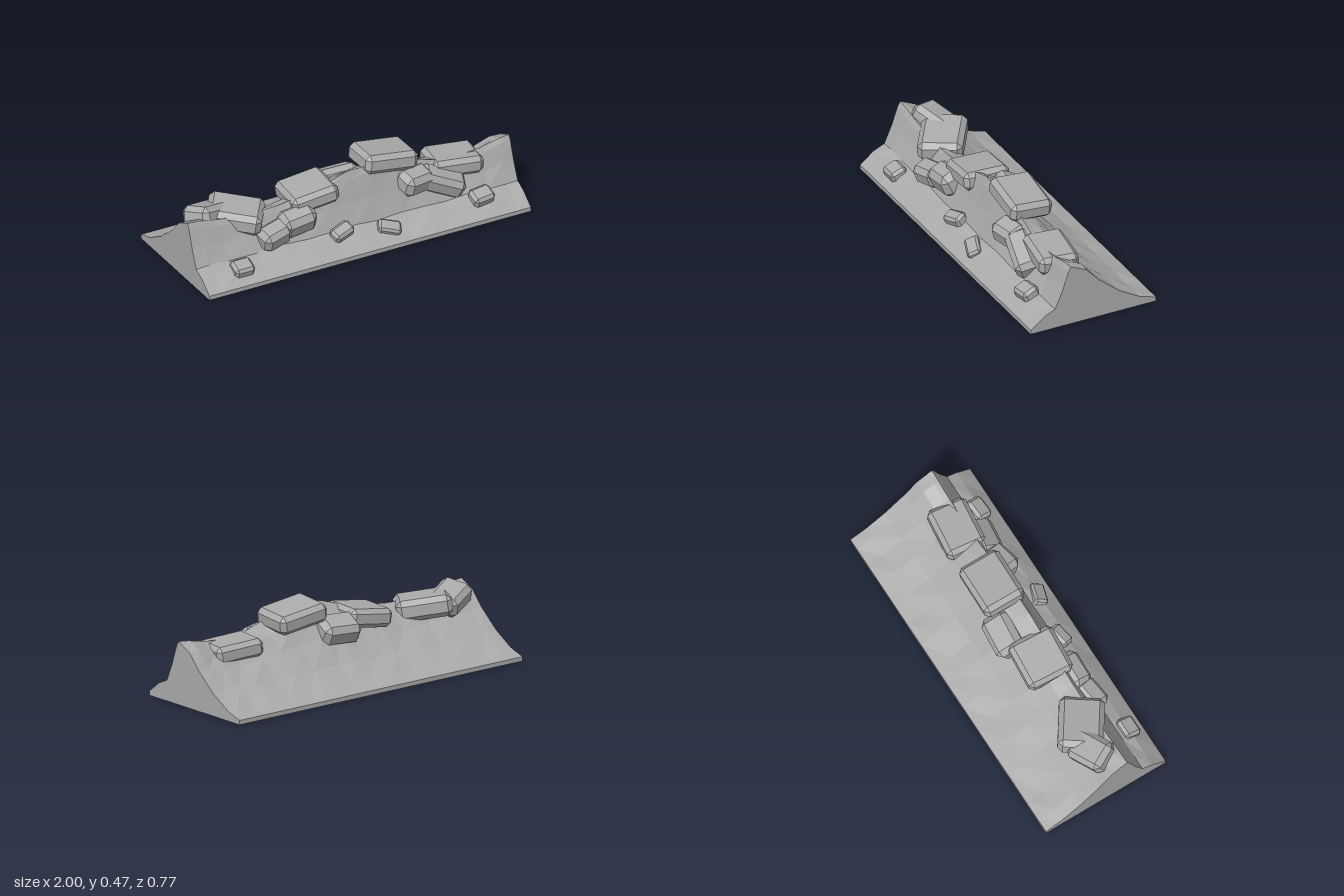
import * as THREE from 'three';
import { ConvexGeometry } from 'three/addons/geometries/ConvexGeometry.js';

const stone = new THREE.MeshStandardMaterial({ color: 0xaaaaaa });
stone.name = 'grey stone';
stone.flatShading = true;

// Cross-section of the ridge as [z, y], from the front base over the crest to the back base
const profile = [
  [0.385, 0], [0.385, 0.025], [0.3, 0.09], [0.236, 0.118], [0.19, 0.225], [0.155, 0.33], [0.138, 0.362],
  [0.11, 0.35], [0.043, 0.318], [-0.035, 0.232], [-0.16, 0.127], [-0.286, 0.055], [-0.385, 0.025], [-0.385, 0],
];

// Crest height along the ridge as [x, y]
const crest = [
  [-1, 0.358], [-0.92, 0.352], [-0.8, 0.325], [-0.62, 0.31], [-0.45, 0.31], [-0.3, 0.335], [-0.15, 0.37], [0, 0.405],
  [0.12, 0.412], [0.28, 0.395], [0.42, 0.36], [0.55, 0.33], [0.7, 0.315], [0.82, 0.322], [0.93, 0.356], [1, 0.358],
];

function ridgeGeometry() {
  // Only the part above the foot of the cliff follows the crest height
  const rings = crest.map(([x, top], i) => profile.map(([z, y], j) => {
    const inner = i > 0 && i < crest.length - 1;
    const lift = y > 0.12 ? (y - 0.12) * ((top - 0.12) / 0.242 - 1) : 0;
    const bump = inner && j > 1 && j < 12 ? 0.006 * Math.sin(i * 2.3 + j * 1.7) : 0;
    return [x, y + lift + bump, z];
  }));
  const out = [];
  const n = profile.length;
  for (let i = 0; i < rings.length - 1; i++) {
    for (let j = 0; j < n; j++) {
      const k = (j + 1) % n;
      const a = rings[i][j], b = rings[i + 1][j], c = rings[i + 1][k], d = rings[i][k];
      out.push(...a, ...b, ...c, ...a, ...c, ...d);
    }
  }
  // End caps
  const outline = profile.map(([z, y]) => new THREE.Vector2(z, y));
  for (const [a, b, c] of THREE.ShapeUtils.triangulateShape(outline, [])) {
    const area = (outline[b].x - outline[a].x) * (outline[c].y - outline[a].y)
      - (outline[b].y - outline[a].y) * (outline[c].x - outline[a].x);
    const [p, q] = area > 0 ? [b, c] : [c, b];
    const first = rings[0], last = rings[rings.length - 1];
    out.push(...first[a], ...first[p], ...first[q], ...last[a], ...last[q], ...last[p]);
  }
  const g = new THREE.BufferGeometry();
  g.setAttribute('position', new THREE.Float32BufferAttribute(out, 3));
  g.computeVertexNormals();
  return g;
}

// Box with every edge and corner chamfered
function rockGeometry(w, h, d) {
  const c = Math.min(w, h, d) * 0.24;
  const points = [];
  for (const x of [-1, 1]) for (const y of [-1, 1]) for (const z of [-1, 1]) {
    for (let axis = 0; axis < 3; axis++) {
      points.push(new THREE.Vector3(
        x * (w / 2 - (axis === 0 ? 0 : c)),
        y * (h / 2 - (axis === 1 ? 0 : c)),
        z * (d / 2 - (axis === 2 ? 0 : c)),
      ));
    }
  }
  return new ConvexGeometry(points);
}

// name, centre, size, rotation
const rocks = [
  ['crestRockFarLeft', [-0.66, 0.285, 0.055], [0.31, 0.12, 0.25], [0.05, -0.6, -0.1]],
  ['crestRockLeftEnd', [-0.82, 0.305, 0.02], [0.23, 0.12, 0.18], [-0.25, 0.45, -0.15]],
  ['cliffRockLeftOuter', [-0.505, 0.185, 0.21], [0.18, 0.12, 0.13], [0.3, 0.2, 0.12]],
  ['cliffRockLeftInner', [-0.35, 0.225, 0.19], [0.21, 0.14, 0.14], [0.4, 0.05, 0.12]],
  ['crestRockLeft', [-0.22, 0.31, 0.07], [0.28, 0.105, 0.27], [0, -0.06, 0.14]],
  ['backRock', [0.01, 0.285, -0.02], [0.24, 0.13, 0.17], [-0.45, -0.1, 0]],
  ['crestRockTop', [0.26, 0.395, 0.06], [0.32, 0.11, 0.25], [-0.07, -0.03, -0.13]],
  ['cliffRockRightInner', [0.385, 0.27, 0.19], [0.19, 0.13, 0.14], [0.3, 0.2, -0.1]],
  ['cliffRockRightOuter', [0.545, 0.225, 0.195], [0.27, 0.12, 0.14], [0.3, -0.3, -0.35]],
  ['crestRockRight', [0.67, 0.27, 0.09], [0.3, 0.105, 0.23], [0, -0.12, -0.06]],
  ['footRockFarLeft', [-0.75, 0.092, 0.3], [0.12, 0.065, 0.1], [0.35, 0, 0]],
  ['footRockLeft', [-0.11, 0.12, 0.265], [0.13, 0.065, 0.08], [0.45, 0.3, 0.1]],
  ['footRockRight', [0.165, 0.09, 0.3], [0.13, 0.05, 0.08], [0.5, -0.4, -0.1]],
  ['footRockFarRight', [0.75, 0.113, 0.28], [0.13, 0.07, 0.1], [0.4, 0.1, 0.04]],
];

export function createModel() {
  const model = new THREE.Group();
  model.name = 'rockyRidge';
  const add = (name, geometry) => {
    const mesh = new THREE.Mesh(geometry, stone);
    mesh.name = name;
    model.add(mesh);
    return mesh;
  };
  add('ridge', ridgeGeometry());
  for (const [name, centre, size, turn] of rocks) {
    const rock = add(name, rockGeometry(...size));
    rock.position.set(...centre);
    rock.rotation.set(...turn);
  }
  return model;
}
